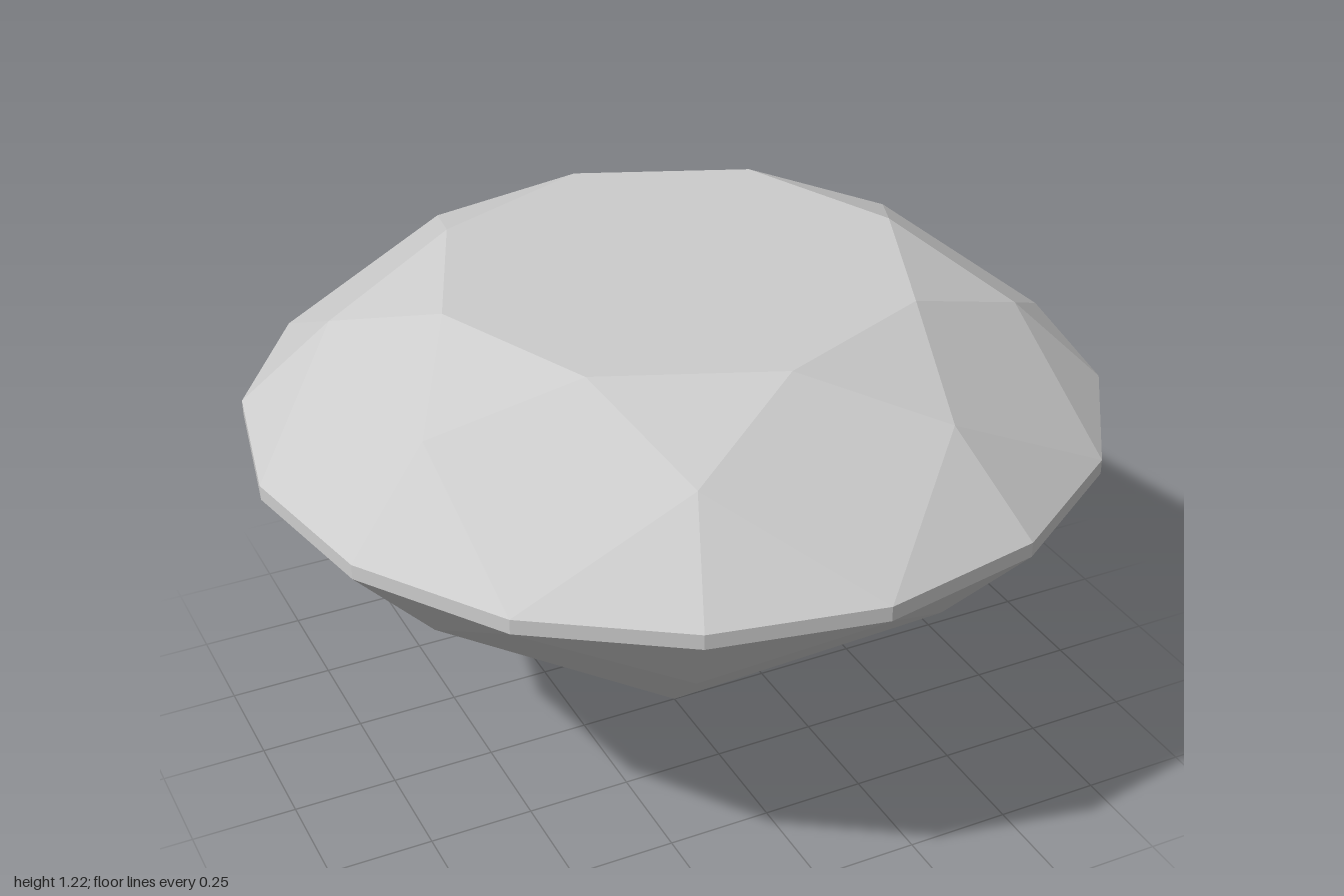
import * as THREE from 'three';

// Point on a ring: step counts sixteenths of a turn from the front
const ring = (radius, y) => (step) => {
  const a = (step * Math.PI) / 8;
  return new THREE.Vector3(radius * Math.sin(a), y, radius * Math.cos(a));
};

const table = ring(0.56, 1.22);
const crownMid = ring(0.785, 1.1);
const girdleTop = ring(1, 0.9);
const girdleBottom = ring(1, 0.865);
const pavilionMid = ring(0.785, 0.625);
const culet = new THREE.Vector3(0, 0, 0);

// Mesh from flat convex facets, corners counter-clockwise from outside
function facetMesh(name, facets, material) {
  const points = [];
  for (const f of facets) {
    for (let i = 1; i < f.length - 1; i++) points.push(f[0], f[i], f[i + 1]);
  }
  const geometry = new THREE.BufferGeometry().setFromPoints(points);
  geometry.computeVertexNormals();
  const mesh = new THREE.Mesh(geometry, material);
  mesh.name = name;
  return mesh;
}

export function createModel() {
  const gem = new THREE.MeshStandardMaterial({ color: 0xcccccc, flatShading: true });
  gem.name = 'gem grey';

  const crown = [];
  const girdle = [];
  const pavilion = [];
  const tableFace = [];

  // Eight-fold symmetry: s is the middle of each kite facet
  for (let s = 0; s < 16; s += 2) {
    tableFace.push(table(s));
    crown.push(
      [girdleTop(s), crownMid(s + 1), table(s), crownMid(s - 1)], // kite
      [crownMid(s + 1), table(s + 2), table(s)], // star
      [girdleTop(s), girdleTop(s + 1), crownMid(s + 1)], // upper girdle pair
      [girdleTop(s + 1), girdleTop(s + 2), crownMid(s + 1)]
    );
    pavilion.push(
      [girdleBottom(s), pavilionMid(s - 1), culet, pavilionMid(s + 1)], // main
      [girdleBottom(s), pavilionMid(s + 1), girdleBottom(s + 1)], // lower girdle pair
      [girdleBottom(s + 1), pavilionMid(s + 1), girdleBottom(s + 2)]
    );
  }

  // Thin upright band of sixteen facets
  for (let s = 0; s < 16; s++) {
    girdle.push([girdleBottom(s), girdleBottom(s + 1), girdleTop(s + 1), girdleTop(s)]);
  }

  const model = new THREE.Group();
  model.name = 'cutGem';
  model.add(
    facetMesh('table', [tableFace], gem),
    facetMesh('crown', crown, gem),
    facetMesh('girdle', girdle, gem),
    facetMesh('pavilion', pavilion, gem)
  );
  return model;
}
